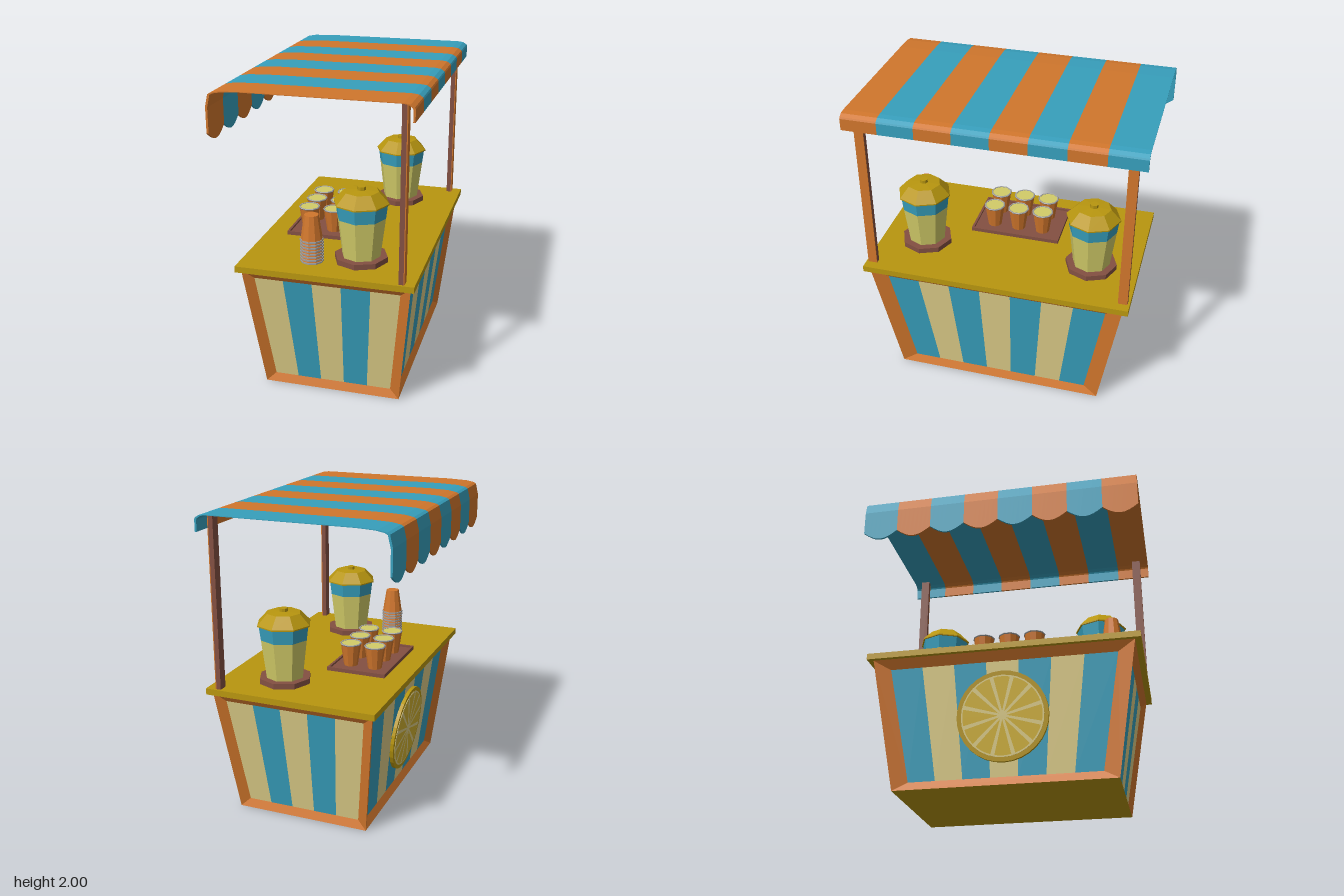
import * as THREE from 'three';

const COLORS = {
  orange: 0xd0762c, blue: 0x379fbc, cream: 0xddcd88, yellow: 0xb8960f,
  brown: 0x835042, juice: 0xd2cc68, grey: 0xa0a0a0, lemon: 0xd0b030,
};
const mats = {};
const mat = (name) => (mats[name] ??= new THREE.MeshStandardMaterial({ color: COLORS[name], flatShading: true }));

function add(parent, name, geo, color, x = 0, y = 0, z = 0) {
  const m = new THREE.Mesh(geo, mat(color));
  m.name = name;
  m.position.set(x, y, z);
  parent.add(m);
  return m;
}

// Faceted geometry from four-cornered faces, corners counter-clockwise
function quads(list) {
  const pos = [];
  for (const [a, b, c, d] of list) pos.push(...a, ...b, ...c, ...a, ...c, ...d);
  const g = new THREE.BufferGeometry();
  g.setAttribute('position', new THREE.Float32BufferAttribute(pos, 3));
  g.computeVertexNormals();
  return g;
}

function group(parent, name, x = 0, y = 0, z = 0) {
  const g = new THREE.Group();
  g.name = name;
  g.position.set(x, y, z);
  parent.add(g);
  return g;
}

const box = (w, h, d) => new THREE.BoxGeometry(w, h, d);
const lerp = THREE.MathUtils.lerp;
const CX = 0.055, TOP = 0.85, COUNTER = 0.89;

// One sloping side of the counter: mitred bevelled frame around sunken stripes
function sidePanel(parent, name, turn, outer, inner, dist, stripes, colors) {
  const g = group(parent, name, CX);
  g.rotation.y = turn;
  const at = (u, y, sink) => [u, y, lerp(dist[0], dist[1], y / TOP) - sink];
  const y0 = 0.055, y1 = 0.79, sink = 0.03;
  const o = [at(-outer[0], 0, 0), at(outer[0], 0, 0), at(outer[1], TOP, 0), at(-outer[1], TOP, 0)];
  const i = [at(-inner[0], y0, sink), at(inner[0], y0, sink), at(inner[1], y1, sink), at(-inner[1], y1, sink)];
  add(g, 'frame', quads(o.map((p, k) => [p, o[(k + 1) % 4], i[(k + 1) % 4], i[k]])), 'orange');
  for (let s = 0; s < stripes; s++) {
    const a = -1 + (2 * s) / stripes, b = a + 2 / stripes;
    add(g, 'stripe', quads([[
      at(a * inner[0], y0, sink), at(b * inner[0], y0, sink),
      at(b * inner[1], y1, sink), at(a * inner[1], y1, sink)]]), colors[s % 2]);
  }
}

function lemonSlice(parent) {
  const g = group(parent, 'lemonSlice', -0.416, 0.43, 0);
  g.rotation.z = Math.PI / 2 + 0.105;
  add(g, 'rind', new THREE.CylinderGeometry(0.29, 0.29, 0.025, 32), 'yellow');
  add(g, 'pith', new THREE.CylinderGeometry(0.262, 0.262, 0.003, 32), 'cream', 0, 0.0135);
  const n = 12, step = (Math.PI * 2) / n;
  for (let k = 0; k < n; k++) {
    const mid = k * step;
    const wedge = new THREE.CircleGeometry(0.225, 4, mid - step * 0.45, step * 0.9).rotateX(-Math.PI / 2);
    add(g, 'segment', wedge, 'lemon', 0.027 * Math.cos(mid), 0.0165, -0.027 * Math.sin(mid));
  }
}

// Striped awning: a bent thin sheet with a scalloped flap on the -x side
function awning(parent) {
  const g = group(parent, 'awning');
  const line = [[-0.62, 1.74], [-0.62, 1.9], [-0.602, 1.975], [-0.585, 1.985], [-0.53, 1.995], [-0.4, 2],
    [0.54, 2], [0.58, 1.995], [0.603, 1.98], [0.608, 1.97], [0.608, 1.895]];
  const n = line.length, steps = 8, width = 1.84 / 8;
  const shell = (z, s) => {
    const drop = 0.055 * Math.sin(Math.PI * s);
    const out = line.map(([x, y], k) => [x, k ? y : y - drop, z]);
    const inn = out.map(([x, y], k) => [
      x + (k < 5 ? 0.013 : k > 6 ? -0.013 : 0), y - (k > 0 && k < n - 1 ? 0.004 : 0), z]);
    return [...out, ...inn.reverse()];
  };
  for (let s = 0; s < 8; s++) {
    const faces = [], z0 = -0.92 + s * width;
    for (let t = 0; t < steps; t++) {
      const p = shell(z0 + (width * t) / steps, t / steps);
      const q = shell(z0 + (width * (t + 1)) / steps, (t + 1) / steps);
      p.forEach((a, k) => {
        const j = (k + 1) % p.length;
        faces.push([a, q[k], q[j], p[j]]);
      });
    }
    // Close the two outer ends of the sheet
    if (s === 0 || s === 7) {
      const e = shell(s ? 0.92 : -0.92, 0);
      for (let k = 0; k < n - 1; k++) {
        const f = [e[k], e[2 * n - 1 - k], e[2 * n - 2 - k], e[k + 1]];
        faces.push(s ? f : f.reverse());
      }
    }
    add(g, 'awningStripe', quads(faces), s % 2 ? 'orange' : 'blue');
  }
}

// Eight-sided drink dispenser with a lid and foot
function dispenser(parent, x, z) {
  const g = group(parent, 'drinkDispenser', x, COUNTER, z);
  const ring = (name, rt, rb, y0, y1, color) =>
    add(g, name, new THREE.CylinderGeometry(rt, rb, y1 - y0, 8), color, 0, (y0 + y1) / 2);
  ring('foot', 0.17, 0.17, 0, 0.035, 'brown');
  ring('juice', 0.155, 0.123, 0.035, 0.29, 'juice');
  ring('band', 0.166, 0.155, 0.29, 0.38, 'blue');
  ring('lidRim', 0.176, 0.176, 0.38, 0.388, 'yellow');
  ring('lid', 0.11, 0.176, 0.388, 0.458, 'yellow');
  ring('lidTop', 0.03, 0.11, 0.458, 0.464, 'yellow');
  ring('knob', 0.027, 0.027, 0.464, 0.485, 'yellow');
}

// Filled cup: open tapered wall, rim ring and drink surface
function cup(parent, x, y, z) {
  const g = group(parent, 'cup', x, y, z);
  add(g, 'cupBody', new THREE.CylinderGeometry(0.068, 0.046, 0.148, 10), 'orange', 0, 0.074);
  const rim = add(g, 'cupRim', new THREE.TorusGeometry(0.067, 0.006, 5, 10), 'grey', 0, 0.15);
  rim.rotation.set(Math.PI / 2, 0, Math.PI / 10);
  add(g, 'drink', new THREE.CylinderGeometry(0.062, 0.062, 0.004, 10), 'juice', 0, 0.149);
}

// Upside-down nested cups
function cupStack(parent, x, z) {
  const g = group(parent, 'cupStack', x, COUNTER, z);
  for (let k = 0; k < 8; k++) {
    const y = 0.008 + k * 0.02;
    add(g, 'stackedRim', new THREE.CylinderGeometry(0.074, 0.074, 0.01, 10), 'grey', 0, y);
    add(g, 'stackedWall', new THREE.CylinderGeometry(0.066, 0.069, 0.012, 10), 'orange', 0, y + 0.01);
  }
  add(g, 'topCup', new THREE.CylinderGeometry(0.045, 0.068, 0.152, 10), 'orange', 0, 0.234);
}

export function createModel() {
  const model = new THREE.Group();
  model.name = 'drinkStand';

  // Counter body
  const body = group(model, 'counterBody');
  const zs = [0.7, 0.84], xs = [0.445, 0.535];
  for (const t of [0, Math.PI]) {
    sidePanel(body, 'endPanel', t, xs, [0.385, 0.465], zs, 5, ['cream', 'blue']);
    sidePanel(body, 'longPanel', t + Math.PI / 2, zs, [0.605, 0.73], xs, 7, ['blue', 'cream']);
  }
  add(body, 'underside', new THREE.PlaneGeometry(0.89, 1.4).rotateX(Math.PI / 2), 'yellow', CX);
  add(model, 'counterTop', box(1.125, 0.04, 1.755), 'yellow', CX, 0.87, 0);
  lemonSlice(model);

  // Posts with a facing strip, and the awning
  for (const z of [-0.833, 0.833]) {
    add(model, 'post', box(0.03, 1.105, 0.06), 'brown', 0.535, 1.4425, z);
    add(model, 'postFacing', box(0.006, 1.105, 0.06), 'orange', 0.553, 1.4425, z);
  }
  awning(model);

  // Tray with six cups
  const tray = group(model, 'tray', -0.16, COUNTER, 0.005);
  add(tray, 'trayBase', box(0.4, 0.012, 0.61), 'brown', 0, 0.006);
  for (const s of [-1, 1]) {
    add(tray, 'trayEdge', box(0.015, 0.025, 0.61), 'brown', s * 0.1925, 0.0125);
    add(tray, 'trayEdge', box(0.37, 0.025, 0.015), 'brown', 0, 0.0125, s * 0.2975);
    for (const z of [-0.17, 0, 0.17]) cup(tray, s * 0.085, 0.012, z);
  }

  cupStack(model, -0.073, 0.67);
  for (const z of [-0.565, 0.57]) dispenser(model, 0.217, z);
  return model;
}
